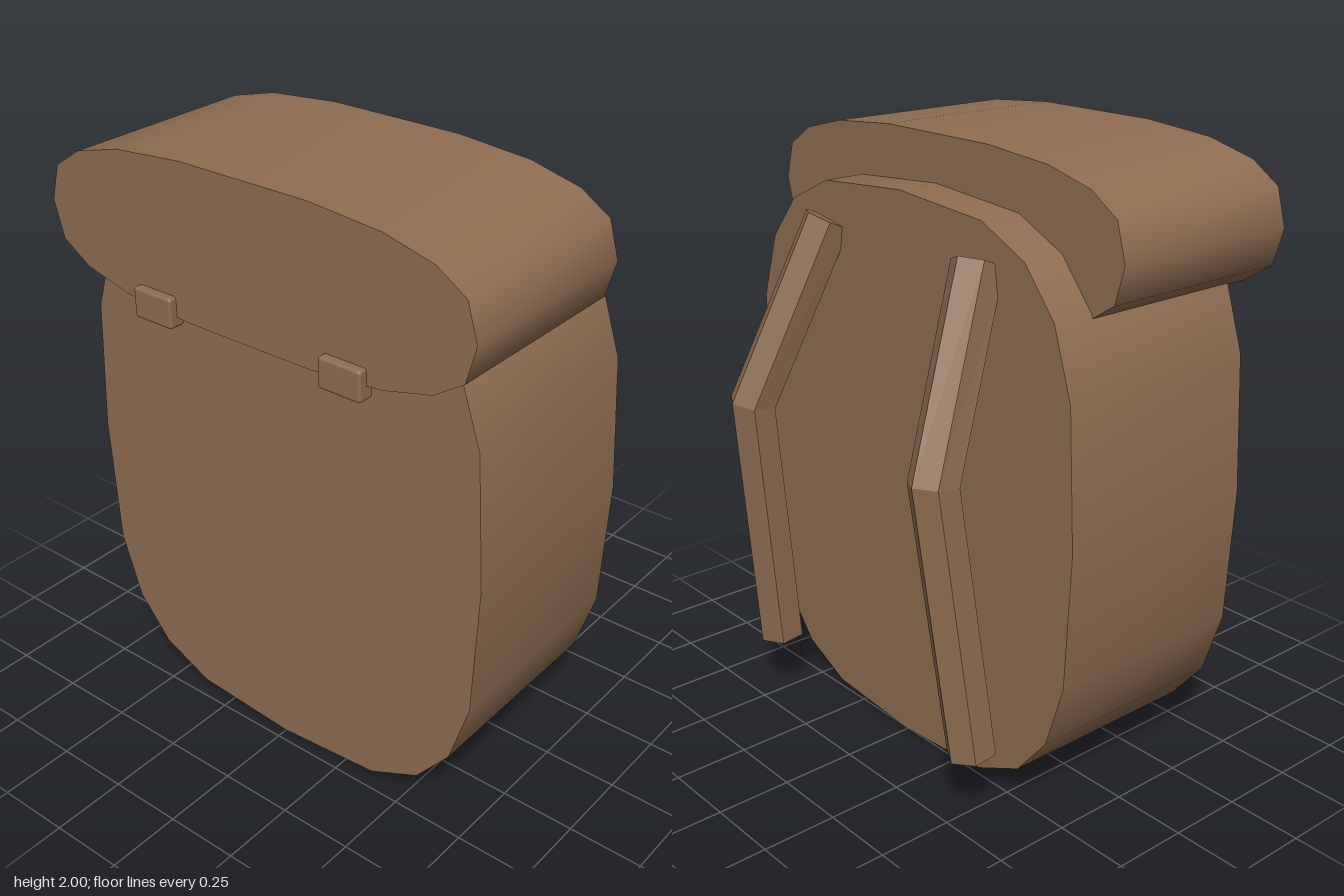
import * as THREE from 'three';
import { toCreasedNormals } from 'three/addons/utils/BufferGeometryUtils.js';
import { RoundedBoxGeometry } from 'three/addons/geometries/RoundedBoxGeometry.js';

const brown = new THREE.MeshStandardMaterial({ color: 0x8f6e52 });
brown.name = 'brown leather';

// Rounded-square outline pulled from back to front, smooth around its rim
function pouch(name, halfWidth, halfHeight, y, back, front, sides, power) {
  const soft = (v) => Math.sign(v) * Math.pow(Math.abs(v), power);
  const outline = [];
  for (let i = 0; i < sides; i++) {
    const a = (i / sides) * Math.PI * 2;
    outline.push(new THREE.Vector2(halfWidth * soft(Math.cos(a)), halfHeight * soft(Math.sin(a))));
  }
  const extruded = new THREE.ExtrudeGeometry(new THREE.Shape(outline), { depth: front - back, bevelEnabled: false });
  const mesh = new THREE.Mesh(toCreasedNormals(extruded, 0.9), brown);
  mesh.name = name;
  mesh.position.set(0, y, back);
  return mesh;
}

// Six-sided bar bent once along top, elbow and bottom points
function strap(name, side) {
  const path = [
    new THREE.Vector3(side * 0.51, 0.22, -0.41),
    new THREE.Vector3(side * 0.46, 1.115, -0.51),
    new THREE.Vector3(side * 0.36, 1.70, -0.26),
  ];
  const lower = path[1].clone().sub(path[0]).normalize();
  const upper = path[2].clone().sub(path[1]).normalize();
  const axes = [lower, lower.clone().add(upper).normalize(), upper];

  const geo = new THREE.CylinderGeometry(0.08, 0.08, 2, 6, 2).toNonIndexed();
  const pos = geo.attributes.position;
  for (let i = 0; i < pos.count; i++) {
    const ring = Math.round(pos.getY(i)) + 1;
    const n = axes[ring];
    const u = new THREE.Vector3(1, 0, 0).addScaledVector(n, -n.x).normalize();
    const v = u.clone().cross(n);
    const p = path[ring].clone().addScaledVector(u, pos.getX(i)).addScaledVector(v, pos.getZ(i));
    pos.setXYZ(i, p.x, p.y, p.z);
  }
  geo.computeVertexNormals();
  const mesh = new THREE.Mesh(geo, brown);
  mesh.name = name;
  return mesh;
}

export function createModel() {
  const model = new THREE.Group();
  model.name = 'backpack';

  // Main bag and overhanging lid
  model.add(pouch('bag', 0.768, 0.925, 0.925, -0.255, 0.462, 20, 0.62));
  model.add(pouch('lid', 0.794, 0.253, 1.75, -0.112, 0.565, 18, 0.7));

  // Mirrored buckles and shoulder straps
  for (const [label, side] of [['left', 1], ['right', -1]]) {
    const buckle = new THREE.Mesh(new RoundedBoxGeometry(0.152, 0.1, 0.06, 2, 0.01), brown);
    buckle.name = label + 'Buckle';
    buckle.position.set(side * 0.36, 1.52, 0.563);
    model.add(buckle, strap(label + 'Strap', side));
  }
  return model;
}
